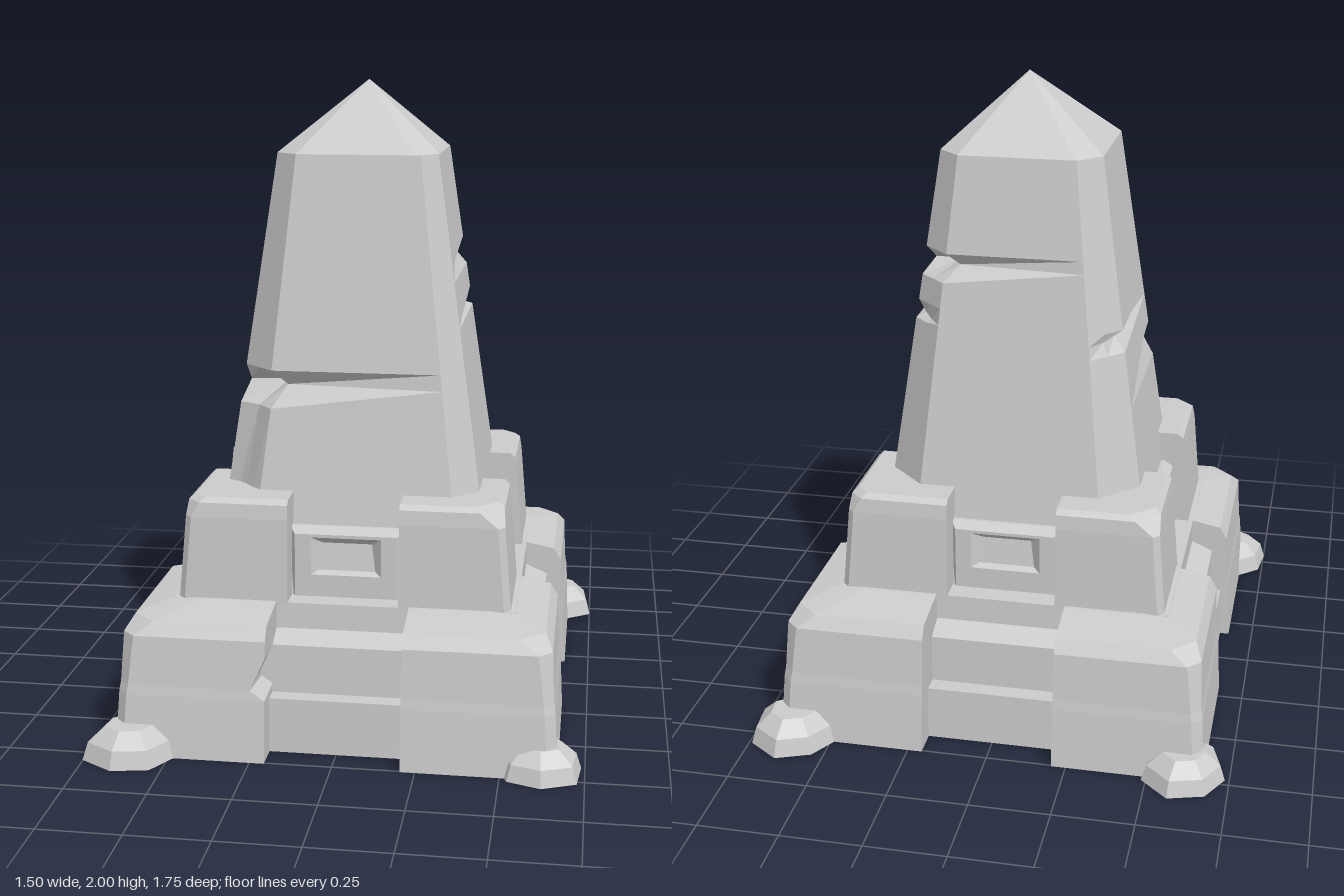
import * as THREE from 'three';

const stone = new THREE.MeshStandardMaterial({ color: 0xcccccc, flatShading: true });
const V = (x, y, z) => new THREE.Vector3(x, y, z);

// Skins a stack of rings (counter-clockwise seen from the last one) and caps both ends.
function loft(name, rings) {
  const pos = [];
  const tri = (a, b, c) => {
    const area = b.clone().sub(a).cross(c.clone().sub(a)).length();
    if (area > 1e-7) for (const p of [a, b, c]) pos.push(p.x, p.y, p.z);
  };
  const n = rings[0].length;
  for (let r = 0; r < rings.length - 1; r++) {
    const a = rings[r], b = rings[r + 1];
    for (let i = 0; i < n; i++) {
      const j = (i + 1) % n;
      tri(a[i], a[j], b[j]);
      tri(a[i], b[j], b[i]);
    }
  }
  const first = rings[0], last = rings[rings.length - 1];
  for (let i = 1; i < n - 1; i++) {
    tri(first[0], first[i + 1], first[i]);
    tri(last[0], last[i], last[i + 1]);
  }
  const geo = new THREE.BufferGeometry();
  geo.setAttribute('position', new THREE.Float32BufferAttribute(pos, 3));
  geo.computeVertexNormals();
  const mesh = new THREE.Mesh(geo, stone);
  mesh.name = name;
  return mesh;
}

// Corner block in the quadrant (sx, sz); levels are [y, outer x, outer z, chamfer, chip].
function cornerBlock(name, sx, sz, xi, zi, levels) {
  return loft(name, levels.map(([y, xo, zo, c, chip = 0]) => {
    const ring = [[xi, zi], [xo, zi], [xo, zo - c], [xo - c, zo], [xi + chip, zo]]
      .map(([x, z]) => V(x * sx, y, z * sz));
    return sx * sz > 0 ? ring.reverse() : ring;
  }));
}

// Stepped core that shows between the corner blocks.
function core() {
  const steps = [[0, 0.64, 0.665], [0.17, 0.635, 0.66], [0.17, 0.6, 0.605], [0.32, 0.6, 0.6],
    [0.35, 0.53, 0.53], [0.43, 0.53, 0.525]];
  return loft('steppedCore', steps.map(([y, x, z]) =>
    [V(x, y, z), V(x, y, -z), V(-x, y, -z), V(-x, y, z)]));
}

// Panel with a bevelled top edge and a sunken tapering pocket, facing +z.
function panel() {
  const rect = (w, y0, y1, z) => [V(-w, y0, z), V(w, y0, z), V(w, y1, z), V(-w, y1, z)];
  return loft('recessedPanel', [
    rect(0.18, 0.42, 0.65, 0.2), rect(0.18, 0.42, 0.65, 0.425), rect(0.16, 0.42, 0.63, 0.455),
    rect(0.11, 0.5, 0.62, 0.455), rect(0.07, 0.52, 0.59, 0.415)]);
}

// Tapering shaft with chamfered corners, chipped by pushing corner points inward.
function shaft() {
  const corners = [[1, 1], [1, -1], [-1, -1], [-1, 1]];
  const chips = [ // corner, height, inward push of the three corner points
    [3, 1.0, 0.0, 0.015, 0.01], [3, 1.07, 0.02, 0.09, 0.05], [3, 1.12, 0, 0, 0],
    [2, 1.18, 0, 0, 0], [2, 1.22, 0, 0.01, 0.035], [2, 1.25, 0, 0, 0],
    [1, 1.26, 0.025, 0.01, 0], [1, 1.31, 0, 0, 0],
    [1, 1.39, 0, 0, 0], [1, 1.44, 0.03, 0.07, 0.04], [1, 1.48, 0, 0, 0]];
  const heights = [0.42, ...chips.map((c) => c[1]), 1.78];
  const rings = heights.map((y) => {
    const t = (y - 0.75) / 1.03;
    const h = 0.4 - 0.147 * t;
    return corners.flatMap(([sx, sz], k) => {
      const c = k === 0 ? 0.08 - 0.03 * t : 0.115 - 0.045 * t;
      const pts = [[h - c, h], [h - c / 2, h - c / 2], [h, h - c]];
      if (sx * sz < 0) pts.reverse();
      const chip = chips.find((q) => q[0] === k && q[1] === y);
      return pts.map(([x, z], i) => {
        const d = chip ? chip[2 + i] : 0;
        return V(sx * (x - d), y, sz * (z - d));
      });
    });
  });
  return loft('shaft', rings);
}

// Low pyramid closing the shaft.
function capstone() {
  const h = 0.253, a = 0.183;
  const ring = [[a, h], [h, a], [h, -a], [a, -h], [-a, -h], [-h, -a], [-h, a], [-a, h]];
  return loft('capstone', [ring.map(([x, z]) => V(x, 1.78, z)), ring.map(() => V(0.01, 2, 0))]);
}

// Small faceted boulder at a base corner.
function boulder(x, z, r, turn, height) {
  const n = 7;
  const levels = [[0, 1], [height * 0.55, 0.88], [height, 0.52]];
  return loft('boulder', levels.map(([y, s]) => Array.from({ length: n }, (_, i) => {
    const a = turn + (i / n) * Math.PI * 2;
    const q = r * s * (1 + 0.07 * Math.sin(i * 2.3 + turn));
    return V(x + q * Math.cos(a), y, z - q * Math.sin(a));
  })));
}

export function createModel() {
  const model = new THREE.Group();
  model.name = 'obeliskMonument';
  model.add(core(), shaft(), capstone());

  for (const sx of [-1, 1]) {
    for (const sz of [-1, 1]) {
      // Base block; the front one on -x has a chipped inner edge.
      const chip = sx < 0 && sz > 0 ? 0.045 : 0;
      model.add(cornerBlock('baseBlock', sx, sz, 0.205, sz > 0 ? 0.17 : 0.195, [
        [0, 0.67, 0.755, 0.03], [0.1, 0.665, 0.745, 0.03], [0.19, 0.66, 0.735, 0.03],
        [0.22, 0.655, 0.73, 0.03, chip], [0.32, 0.65, 0.72, 0.035], [0.37, 0.648, 0.715, 0.04],
        [0.41, 0.625, 0.69, 0.07], [0.435, 0.5, 0.54, 0.06]]));
      // Upper block
      const c = sx * sz > 0 ? 0.07 : 0.04;
      model.add(cornerBlock('upperBlock', sx, sz, 0.172, 0.165, [
        [0.42, 0.515, 0.53, 0.02], [0.69, 0.492, 0.518, 0.02],
        [0.735, 0.487, 0.512, c], [0.75, 0.47, 0.495, c]]));
    }
  }

  for (let i = 0; i < 4; i++) {
    const p = panel();
    p.rotation.y = (i * Math.PI) / 2;
    model.add(p);
  }

  model.add(
    boulder(0.615, 0.69, 0.127, 0.3, 0.09), boulder(-0.62, 0.74, 0.137, 0.9, 0.1),
    boulder(0.62, -0.745, 0.133, 0.5, 0.1), boulder(-0.61, -0.72, 0.13, 1.3, 0.09));
  return model;
}
